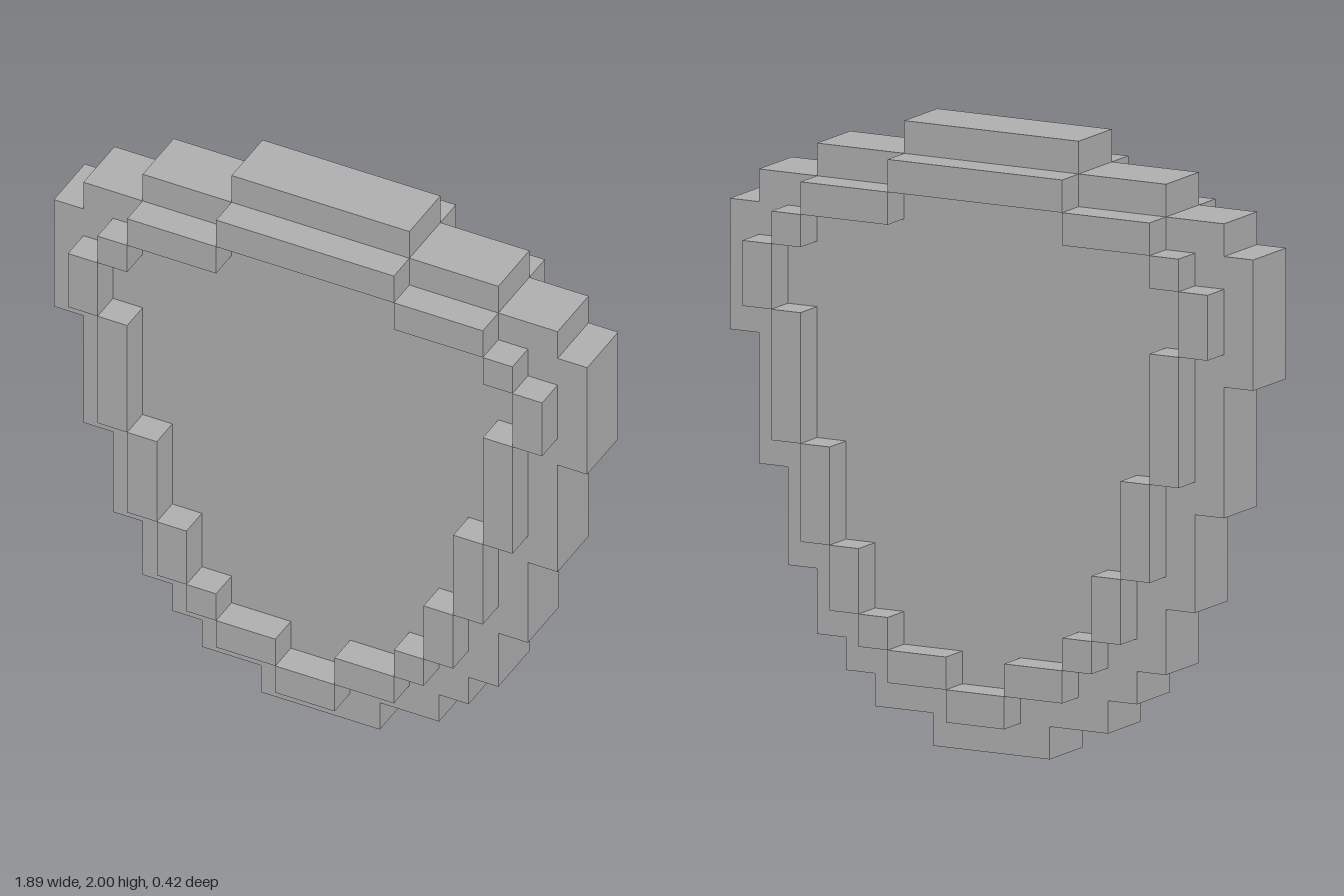
import * as THREE from 'three';

const U = 2 / 19; // one block of the grid

// Body steps from the bottom up: [top row, half width] in blocks
const STEPS = [[1, 2], [2, 4], [3, 5], [5, 6], [8, 7], [12, 8], [16, 9], [17, 8], [18, 6], [19, 3]];

// Rim blocks: [x from, x to, y from, y to]; those starting at x > 0 are mirrored
const RIM = [
  [-3, 3, 17, 18], [3, 6, 16, 17], [6, 7, 15, 16], [7, 8, 13, 15], [6, 7, 9, 13],
  [5, 6, 6, 9], [4, 5, 4, 6], [3, 4, 3, 4], [1, 3, 2, 3], [-1, 1, 1, 2],
];

export function createModel() {
  const group = new THREE.Group();
  group.name = 'shield';
  const stone = new THREE.MeshStandardMaterial({ color: 0xb0b0b0 });
  stone.name = 'grey';

  // Stepped plate, two blocks thick
  const right = [];
  let bottom = 0;
  for (const [top, w] of STEPS) {
    right.push(new THREE.Vector2(w * U, bottom * U), new THREE.Vector2(w * U, top * U));
    bottom = top;
  }
  const left = right.map((p) => new THREE.Vector2(-p.x, p.y)).reverse();
  const plateGeometry = new THREE.ExtrudeGeometry(new THREE.Shape([...right, ...left]), {
    depth: 2 * U, bevelEnabled: false,
  });
  plateGeometry.translate(0, 0, -U);
  const plate = new THREE.Mesh(plateGeometry, stone);
  plate.name = 'plate';
  group.add(plate);

  // Raised rim, one block thick, on the front and back
  for (const side of [1, -1]) {
    const rim = new THREE.Group();
    rim.name = side > 0 ? 'frontRim' : 'backRim';
    for (const [x0, x1, y0, y1] of RIM) {
      for (const mirror of x0 > 0 ? [1, -1] : [1]) {
        const block = new THREE.Mesh(new THREE.BoxGeometry((x1 - x0) * U, (y1 - y0) * U, U), stone);
        block.position.set((mirror * (x0 + x1) * U) / 2, ((y0 + y1) * U) / 2, side * 1.5 * U);
        block.name = 'rimBlock';
        rim.add(block);
      }
    }
    group.add(rim);
  }
  return group;
}
